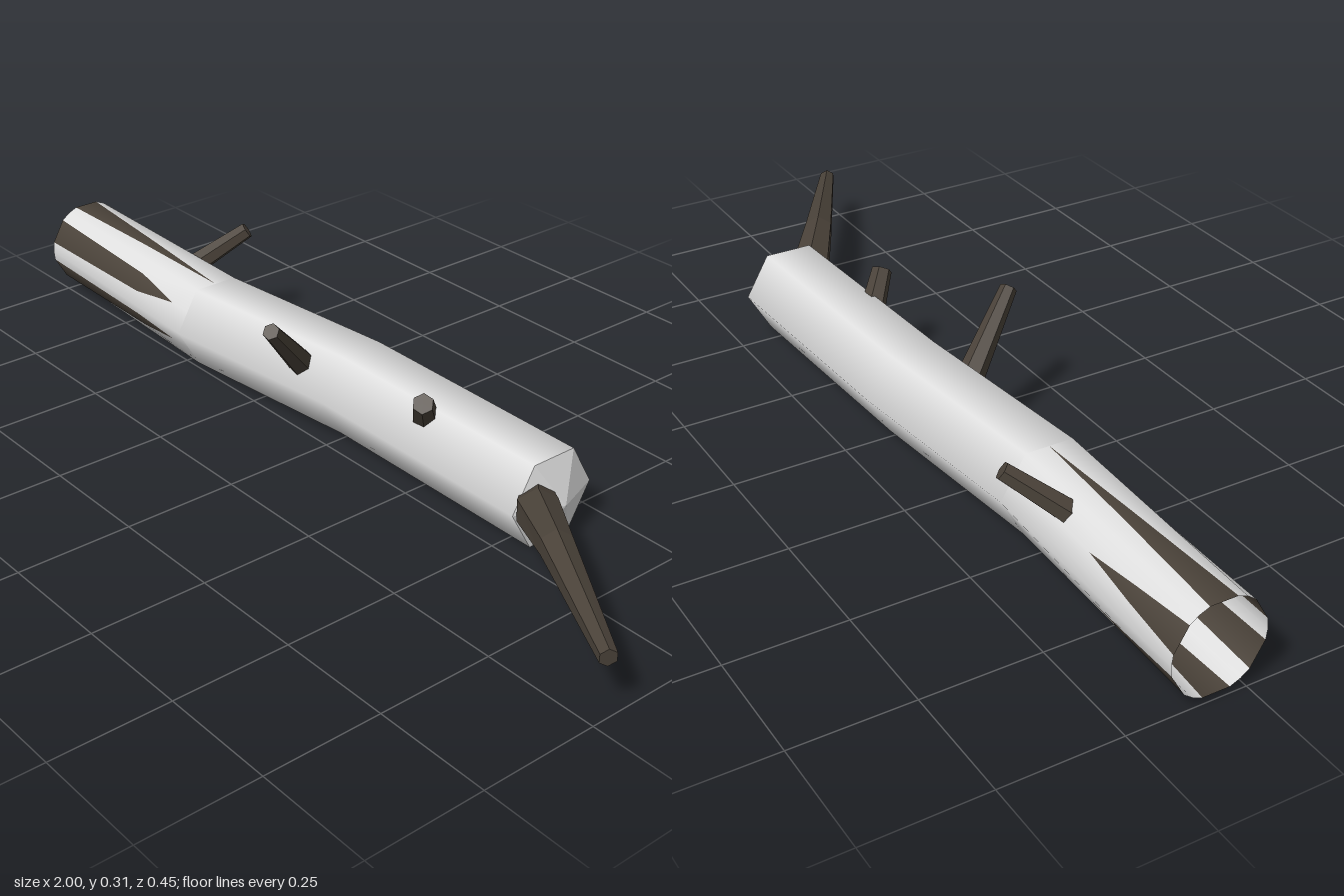
import * as THREE from 'three';

const bark = new THREE.MeshStandardMaterial({ color: 0xdedede, side: THREE.DoubleSide });
bark.name = 'pale bark';
const wood = new THREE.MeshStandardMaterial({ color: 0x4a4239, side: THREE.DoubleSide });
wood.name = 'dark wood';

// Trunk centre line: x, y, z
const spine = [[-1, 0.11, -0.065], [-0.45, 0.105, -0.05], [0, 0.105, -0.093], [0.55, 0.091, -0.105]];
const R = 0.105;

// Point on a ring; u runs 0..6 round the hexagon, from +z over the top
function ringPoint(i, u) {
  const [x, y, z] = spine[i];
  const k = Math.floor(u), f = u - k;
  let c, s;
  if (i === 0) { // the hollow end is rounder
    c = 0.1 * Math.cos(u * Math.PI / 3);
    s = 0.1 * Math.sin(u * Math.PI / 3);
  } else {
    const a = k * Math.PI / 3, b = a + Math.PI / 3;
    c = R * ((1 - f) * Math.cos(a) + f * Math.cos(b));
    s = R * ((1 - f) * Math.sin(a) + f * Math.sin(b));
  }
  const p = new THREE.Vector3(x, y + s, z + c);
  p.n = new THREE.Vector3(0, s, c).normalize();
  return p;
}

// Point on the first trunk section at a given x
function barkPoint(x, u) {
  const t = (x + 1) / 0.55;
  const a = ringPoint(0, u), b = ringPoint(1, u);
  const p = a.clone().lerp(b, t);
  p.n = a.n.clone().lerp(b.n, t).normalize();
  return p;
}

// Collects outward-facing triangles with smooth radial normals
class Surface {
  constructor() { this.pos = []; this.nor = []; }
  tri(a, b, c) {
    const face = b.clone().sub(a).cross(c.clone().sub(a));
    const list = face.dot(a.n.clone().add(b.n).add(c.n)) < 0 ? [a, c, b] : [a, b, c];
    for (const p of list) {
      this.pos.push(p.x, p.y, p.z);
      this.nor.push(p.n.x, p.n.y, p.n.z);
    }
  }
  quad(a, b, c, d) { this.tri(a, b, c); this.tri(a, c, d); }
  mesh(name, material) {
    const g = new THREE.BufferGeometry();
    g.setAttribute('position', new THREE.Float32BufferAttribute(this.pos, 3));
    g.setAttribute('normal', new THREE.Float32BufferAttribute(this.nor, 3));
    const m = new THREE.Mesh(g, material);
    m.name = name;
    return m;
  }
}

// Tapered branch through rings of [x, y, z, radius], closed at both ends
function branch(name, rings, sides = 6) {
  const pts = rings.map(r => new THREE.Vector3(r[0], r[1], r[2]));
  const pos = [];
  const loops = pts.map((p, i) => {
    const dir = pts[Math.min(i + 1, pts.length - 1)].clone().sub(pts[Math.max(i - 1, 0)]).normalize();
    const side = new THREE.Vector3(0, 1, 0).cross(dir).normalize();
    const up = dir.clone().cross(side);
    return Array.from({ length: sides }, (_, k) => {
      const a = (k + 0.5) * 2 * Math.PI / sides;
      return p.clone().addScaledVector(side, Math.cos(a) * rings[i][3]).addScaledVector(up, Math.sin(a) * rings[i][3]);
    });
  });
  const tri = (...v) => v.forEach(p => pos.push(p.x, p.y, p.z));
  const last = loops.length - 1;
  for (let k = 0; k < sides; k++) {
    const n = (k + 1) % sides;
    for (let i = 0; i < last; i++) {
      tri(loops[i][k], loops[i][n], loops[i + 1][n]);
      tri(loops[i][k], loops[i + 1][n], loops[i + 1][k]);
    }
    tri(pts[0], loops[0][n], loops[0][k]);
    tri(pts[last], loops[last][k], loops[last][n]);
  }
  const g = new THREE.BufferGeometry();
  g.setAttribute('position', new THREE.Float32BufferAttribute(pos, 3));
  g.computeVertexNormals();
  const m = new THREE.Mesh(g, wood);
  m.name = name;
  return m;
}

export function createModel() {
  const log = new THREE.Group();
  log.name = 'fallenLog';

  // Bark with a dark peeled strip on each of the six sides: [kink x, kink half width, tip x]
  const strips = [
    [-0.64, 0.2, -0.51], [-0.72, 0.13, -0.45], [-0.86, 0.15, -0.72],
    [-0.86, 0.15, -0.74], [-0.72, 0.13, -0.45], [-0.64, 0.2, -0.51],
  ];
  const pale = new Surface(), dark = new Surface();
  strips.forEach(([kx, kw, tx], k) => {
    const mid = k + 0.5;
    const tip = barkPoint(tx, mid), ringMid = ringPoint(1, mid);
    const edge = s => ringPoint(0, mid + s * 0.28);
    const kink = s => barkPoint(kx, mid + s * kw);
    for (const s of [-1, 1]) {
      const corner = ringPoint(0, mid + s * 0.5), far = ringPoint(1, mid + s * 0.5);
      pale.tri(corner, edge(s), kink(s));
      pale.tri(corner, kink(s), far);
      pale.tri(kink(s), tip, far);
      if (tx < -0.45) pale.tri(tip, ringMid, far);
    }
    dark.quad(edge(-1), edge(1), kink(1), kink(-1));
    dark.tri(kink(-1), kink(1), tip);
    // Plain bark on the rest of the trunk
    for (let i = 1; i < 3; i++) {
      pale.quad(ringPoint(i, k), ringPoint(i, k + 1), ringPoint(i + 1, k + 1), ringPoint(i + 1, k));
    }
  });
  log.add(pale.mesh('trunkBark', bark), dark.mesh('peeledStrips', wood));

  // Shallow faceted point closing the trunk
  const cap = new THREE.Mesh(new THREE.ConeGeometry(R, 0.038, 6, 1, true).toNonIndexed(), bark);
  cap.geometry.computeVertexNormals();
  cap.geometry.rotateZ(-Math.PI / 2);
  cap.position.set(0.569, 0.091, -0.105);
  cap.name = 'trunkEnd';
  log.add(cap);

  // Branch stubs and the bent end branch
  log.add(
    branch('backStub', [[-0.63, 0.15, -0.09, 0.027], [-0.545, 0.25, -0.213, 0.019]]),
    branch('frontStub', [[-0.105, 0.14, -0.025, 0.03], [-0.03, 0.293, 0.119, 0.018]]),
    branch('shortStub', [[0.245, 0.15, -0.055, 0.028], [0.292, 0.222, -0.003, 0.022]]),
    branch('endBranch', [
      [0.545, 0.105, -0.07, 0.034], [0.58, 0.107, -0.035, 0.045],
      [0.71, 0.129, 0.05, 0.034], [0.99, 0.118, 0.214, 0.018],
    ]),
  );
  return log;
}
